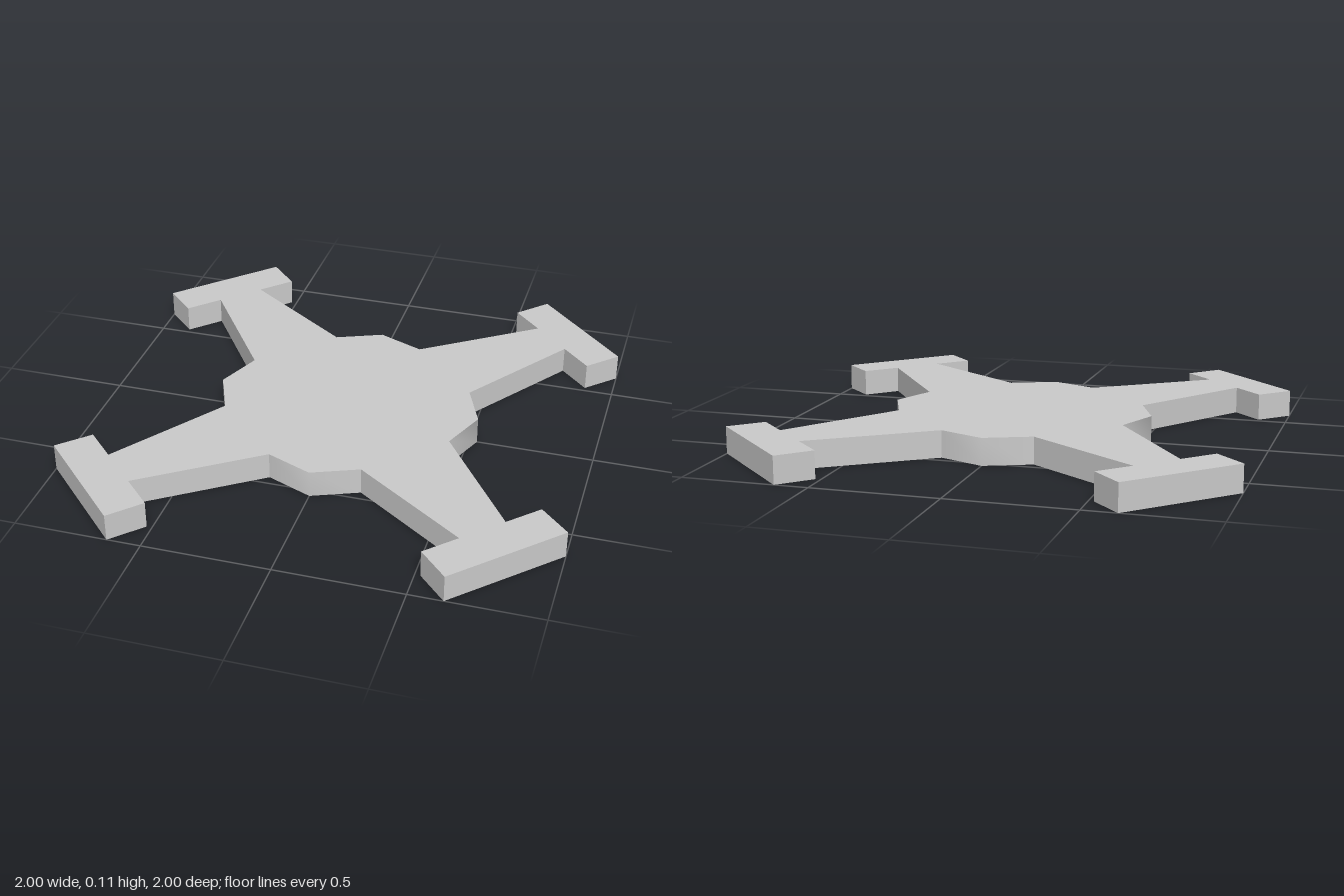
import * as THREE from 'three';
import { toCreasedNormals } from 'three/addons/utils/BufferGeometryUtils.js';

const HEIGHT = 0.108;

// One quarter of the outline: hub point, arm side, T-shaped foot, arm side
const QUARTER = [
  [0.535, 0], [0.46, 0.183],
  [0.773, 0.633], [0.885, 0.521], [1, 0.633],
  [0.633, 1], [0.521, 0.885], [0.633, 0.773],
  [0.183, 0.46],
];

export function createModel() {
  const group = new THREE.Group();
  group.name = 'crossPlate';

  // Repeat the quarter around the centre
  const outline = [];
  for (let i = 0; i < 4; i++) {
    for (const [x, y] of QUARTER) {
      outline.push(new THREE.Vector2(x, y).rotateAround(new THREE.Vector2(), i * Math.PI / 2));
    }
  }

  // Flat plate lying on the ground; only the shallow hub points are shaded smooth
  const extruded = new THREE.ExtrudeGeometry(new THREE.Shape(outline), { depth: HEIGHT, bevelEnabled: false });
  extruded.rotateX(-Math.PI / 2);
  const plate = new THREE.Mesh(
    toCreasedNormals(extruded, THREE.MathUtils.degToRad(50)),
    new THREE.MeshStandardMaterial({ color: 0xcccccc }),
  );
  plate.name = 'fourArmedPlate';
  group.add(plate);

  return group;
}
